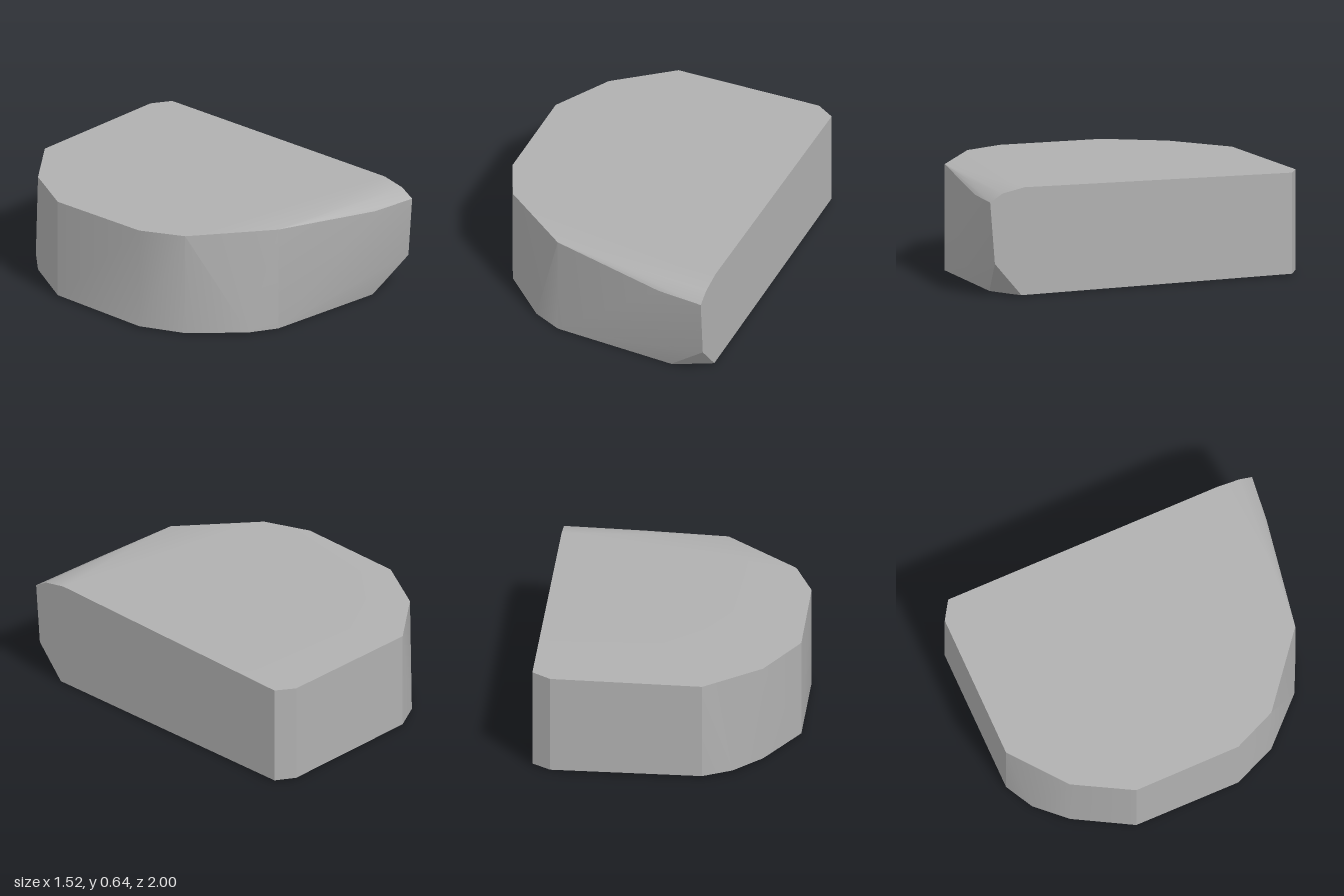
import * as THREE from 'three';
import { ConvexGeometry } from 'three/addons/geometries/ConvexGeometry.js';
import { toCreasedNormals } from 'three/addons/utils/BufferGeometryUtils.js';

// Corners shared by the top and bottom outlines, as [x, z]
const outline = [
  [0.76, -0.93], [0.65, -1], [-0.24, -1], [-0.57, -0.74],
  [-0.76, -0.4], [-0.755, 0.25], [-0.64, 0.51], [-0.21, 0.85],
];

// The top tilts up towards the front left, the base is almost level
const topY = (x, z) => 0.616 + 0.007 * x + 0.018 * z;
const baseY = (x, z) => 0.006 - 0.004 * x - 0.005 * z;

export function createModel() {
  const group = new THREE.Group();
  group.name = 'stoneBlock';
  const stone = new THREE.MeshStandardMaterial({ color: 0xb0b0b0 });
  stone.name = 'stone grey';

  const points = [];
  const add = (x, y, z) => points.push(new THREE.Vector3(x, y, z));

  for (const [x, z] of outline) {
    add(x, topY(x, z), z);
    add(x, baseY(x, z), z);
  }

  // Extra base corners where the wall leans outwards
  add(-0.38, 0.006, 0.77);
  add(-0.41, 0.012, -0.91);

  // Worn bevel along the front top edge
  add(0.76, 0.64, 0.78);
  add(0.76, 0.613, 0.92);
  add(0.3, 0.612, 0.91);
  add(0.48, 0.565, 0.97);
  add(0.76, 0.565, 1);

  // Chipped lower front corner
  add(0.76, 0.2, 0.97);
  add(0.53, 0, 0.9);
  add(0.76, 0.004, 0.8);
  add(0.7, 0.003, 0.83);

  const block = new THREE.Mesh(toCreasedNormals(new ConvexGeometry(points), 0.42), stone);
  block.name = 'block';
  group.add(block);
  return group;
}
